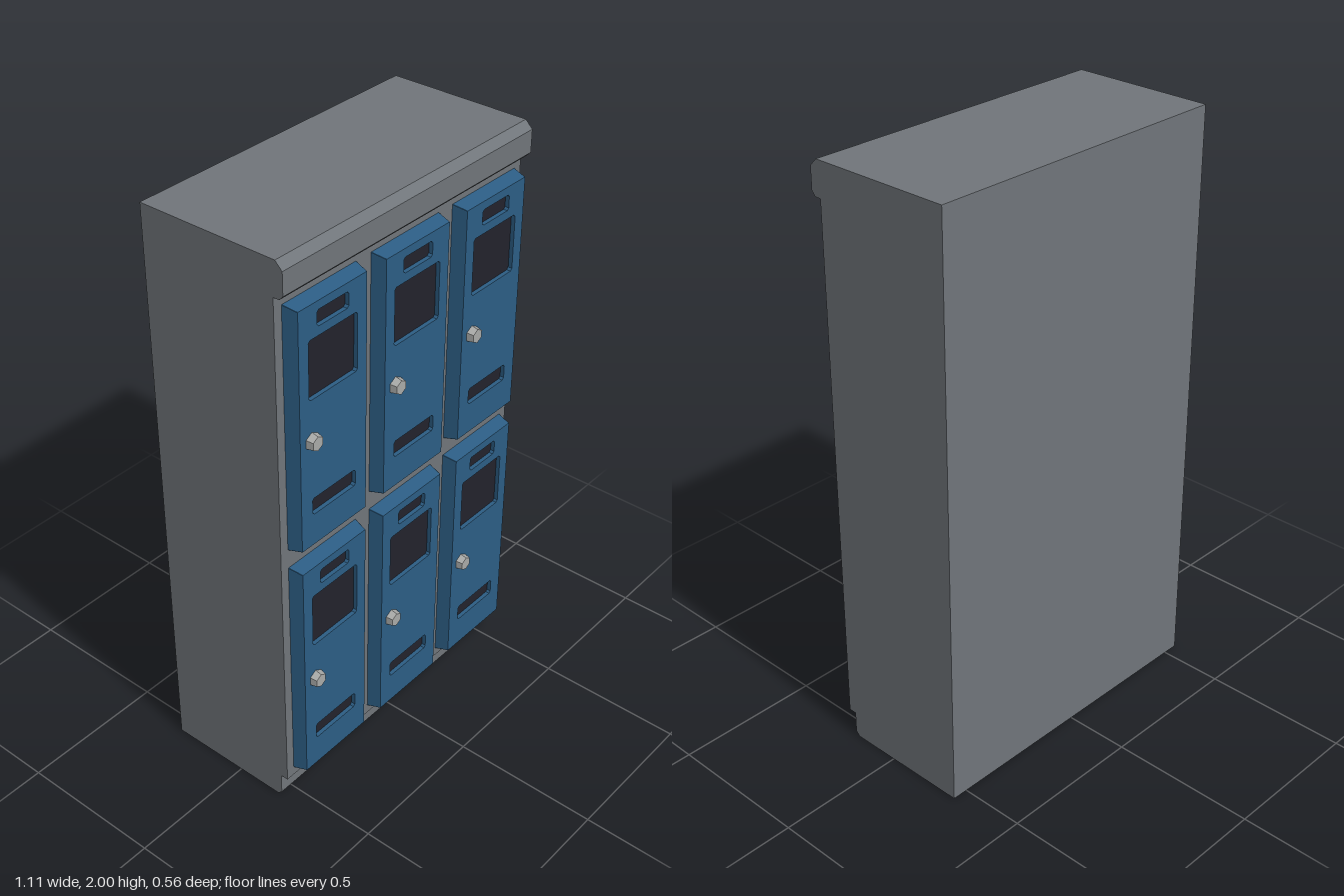
import * as THREE from 'three';

const flat = (name, color) => {
  const m = new THREE.MeshStandardMaterial({ color });
  m.name = name;
  return m;
};

// Rectangle with clipped corners, centred on (0, y)
function clippedRect(Type, halfW, halfH, y, c) {
  const p = new Type();
  p.setFromPoints([
    [-halfW + c, -halfH], [halfW - c, -halfH], [halfW, -halfH + c], [halfW, halfH - c],
    [halfW - c, halfH], [-halfW + c, halfH], [-halfW, halfH - c], [-halfW, -halfH + c],
  ].map(([a, b]) => new THREE.Vector2(a, b + y)));
  p.closePath();
  return p;
}

export function createModel() {
  const grey = flat('cabinet grey', 0x70757a);
  const blue = flat('door blue', 0x2c5d84);
  const dark = flat('opening dark', 0x22222c);
  const metal = flat('knob metal', 0xa9aaa8);

  const model = new THREE.Group();
  model.name = 'lockers';

  // Cabinet: side profile (z, y) with top lip and recessed plinth, swept across x
  const width = 1.108;
  const profile = new THREE.Shape([
    [-0.278, 0], [0.165, 0], [0.18, 0.015], [0.18, 0.09], [0.207, 0.09], [0.207, 1.885],
    [0.228, 1.885], [0.242, 1.9], [0.242, 1.975], [0.217, 2], [-0.278, 2],
  ].map(([z, y]) => new THREE.Vector2(z, y)));
  const bodyGeo = new THREE.ExtrudeGeometry(profile, { depth: width, bevelEnabled: false });
  bodyGeo.rotateY(-Math.PI / 2).translate(width / 2, 0, 0);
  const body = new THREE.Mesh(bodyGeo, grey);
  body.name = 'cabinet';
  model.add(body);

  // Openings in each door: half width, half height, y from door centre
  const openings = [
    { name: 'labelSlot', w: 0.066, h: 0.026, y: 0.351 },
    { name: 'window', w: 0.103, h: 0.097, y: 0.199 },
    { name: 'lowerVent', w: 0.095, h: 0.029, y: -0.267 },
  ];

  // Door: slab with holes whose rim flares out toward the cabinet
  const halfW = 0.143, halfH = 0.405, depth = 0.048;
  const face = clippedRect(THREE.Shape, halfW, halfH, 0, 0.001);
  for (const o of openings) face.holes.push(clippedRect(THREE.Path, o.w, o.h, o.y, 0.007));
  const doorGeo = new THREE.ExtrudeGeometry(face, { depth, bevelEnabled: false });
  const pos = doorGeo.attributes.position;
  for (let i = 0; i < pos.count; i++) {
    if (pos.getZ(i) > 0.001) continue;
    const x = pos.getX(i), y = pos.getY(i);
    if (Math.abs(x) > halfW - 0.003 || Math.abs(y) > halfH - 0.003) {
      pos.setXY(i, x + Math.sign(x) * 0.01, y + Math.sign(y) * 0.01);
    }
  }
  doorGeo.computeVertexNormals();

  // Hexagonal knob, slightly tapered toward the front
  const knobGeo = new THREE.CylinderGeometry(0.024, 0.029, 0.024, 6).toNonIndexed();
  knobGeo.computeVertexNormals();
  knobGeo.rotateX(Math.PI / 2);

  for (const y of [1.434, 0.537]) {
    for (const x of [-0.37, 0, 0.37]) {
      const door = new THREE.Group();
      door.name = 'door';
      door.position.set(x, y, 0.207);

      const panel = new THREE.Mesh(doorGeo, blue);
      panel.name = 'doorPanel';
      door.add(panel);

      // Dark plates set back behind the openings
      for (const o of openings) {
        const plate = new THREE.Mesh(
          new THREE.BoxGeometry(o.w * 2 + 0.006, o.h * 2 + 0.006, 0.008), dark);
        plate.name = o.name;
        plate.position.set(0, o.y, 0.03);
        door.add(plate);
      }

      const knob = new THREE.Mesh(knobGeo, metal);
      knob.name = 'knob';
      knob.position.set(-0.094, -0.034, depth + 0.011);
      door.add(knob);
      model.add(door);
    }
  }
  return model;
}
